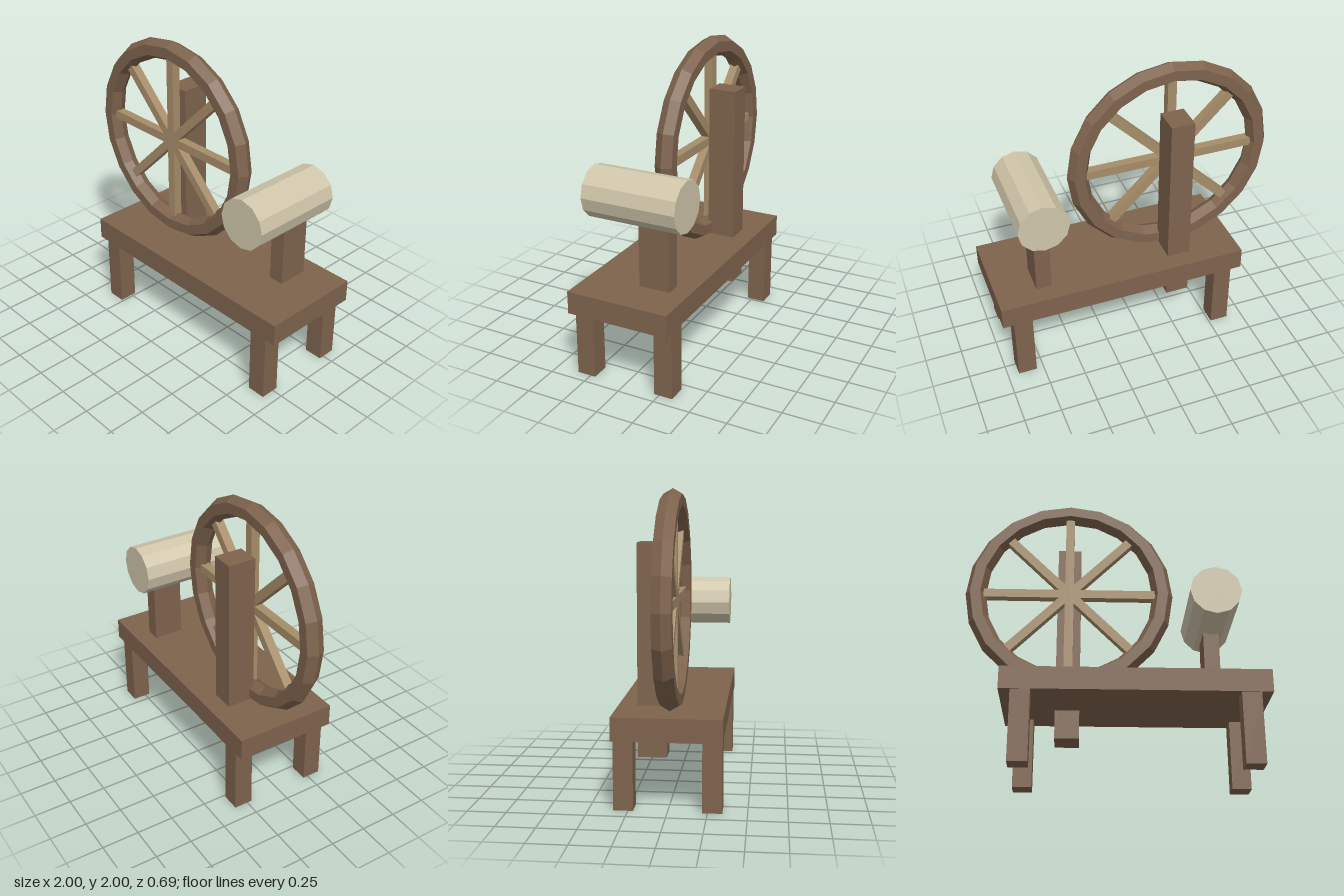
import * as THREE from 'three';

export function createModel() {
  const model = new THREE.Group();
  model.name = 'spinningWheel';
  const material = (name, color) => {
    const m = new THREE.MeshStandardMaterial({ color, flatShading: true });
    m.name = name;
    return m;
  };
  const wood = material('brownWood', 0x7e634d);
  const paleWood = material('paleWood', 0xa68d69);
  const fibre = material('creamFibre', 0xd0c6aa);

  const add = (name, geometry, mat, parent = model) => {
    const mesh = new THREE.Mesh(geometry, mat);
    mesh.name = name;
    parent.add(mesh);
    return mesh;
  };
  // Box given by its limits on each axis
  const block = (name, [x0, x1], [y0, y1], [z0, z1]) =>
    add(name, new THREE.BoxGeometry(x1 - x0, y1 - y0, z1 - z0), wood)
      .position.set((x0 + x1) / 2, (y0 + y1) / 2, (z0 + z1) / 2);

  // Bench and its four legs
  block('bench', [-0.715, 1], [0.465, 0.615], [-0.347, 0.347]);
  for (const x of [-0.578, 0.862])
    for (const z of [-0.28, 0.28])
      block('leg', [x - 0.063, x + 0.063], [0, 0.47], [z - 0.063, z + 0.063]);

  // Uprights: the wheel post passes down through the bench
  block('wheelPost', [-0.37, -0.21], [0.272, 1.662], [-0.223, -0.033]);
  block('spindlePost', [0.623, 0.728], [0.54, 1.1], [-0.223, -0.012]);

  // Wheel: six-sided rim section and four crossing bars as spokes
  const wheel = new THREE.Group();
  wheel.name = 'wheel';
  wheel.position.set(-0.29, 1.29, 0);
  model.add(wheel);
  add('rim', new THREE.TorusGeometry(0.64, 0.07, 6, 20), wood, wheel);
  for (let i = 0; i < 4; i++)
    add('spoke', new THREE.BoxGeometry(1.18, 0.06, 0.06), paleWood, wheel)
      .rotation.z = i * Math.PI / 4;

  // Spool lying front to back
  const spool = add('spool', new THREE.CylinderGeometry(0.17, 0.17, 0.645, 12), fibre);
  spool.rotation.x = Math.PI / 2;
  spool.position.set(0.675, 1.185, 0);

  return model;
}
